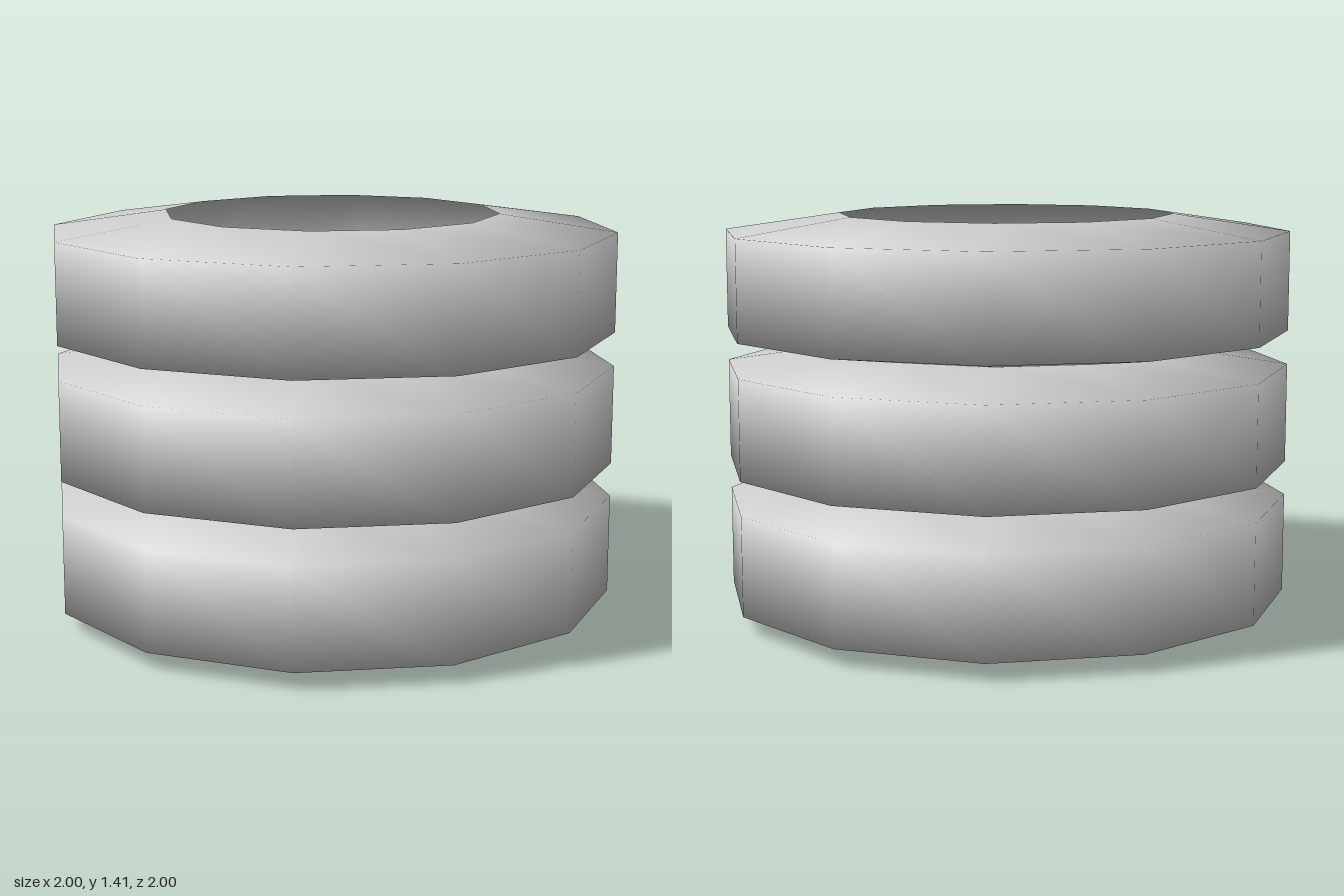
import * as THREE from 'three';

// Stack of three identical hollow tyres, each an open twelve-sided shell.
export function createModel() {
  const model = new THREE.Group();
  model.name = 'tyreStack';

  const rubber = new THREE.MeshStandardMaterial({ color: 0xcccccc, side: THREE.DoubleSide });
  rubber.name = 'light grey rubber';

  const height = 0.47;
  const innerRadius = 0.59;
  const shoulder = 0.06;

  // Lower sidewall, tread and upper sidewall; the inside stays open
  const profile = [
    new THREE.Vector2(innerRadius, 0),
    new THREE.Vector2(1, shoulder),
    new THREE.Vector2(1, height - shoulder),
    new THREE.Vector2(innerRadius, height),
  ];
  const shell = new THREE.LatheGeometry(profile, 12);

  ['bottomTyre', 'middleTyre', 'topTyre'].forEach((name, i) => {
    const tyre = new THREE.Mesh(shell, rubber);
    tyre.name = name;
    tyre.position.y = i * height;
    model.add(tyre);
  });

  return model;
}
